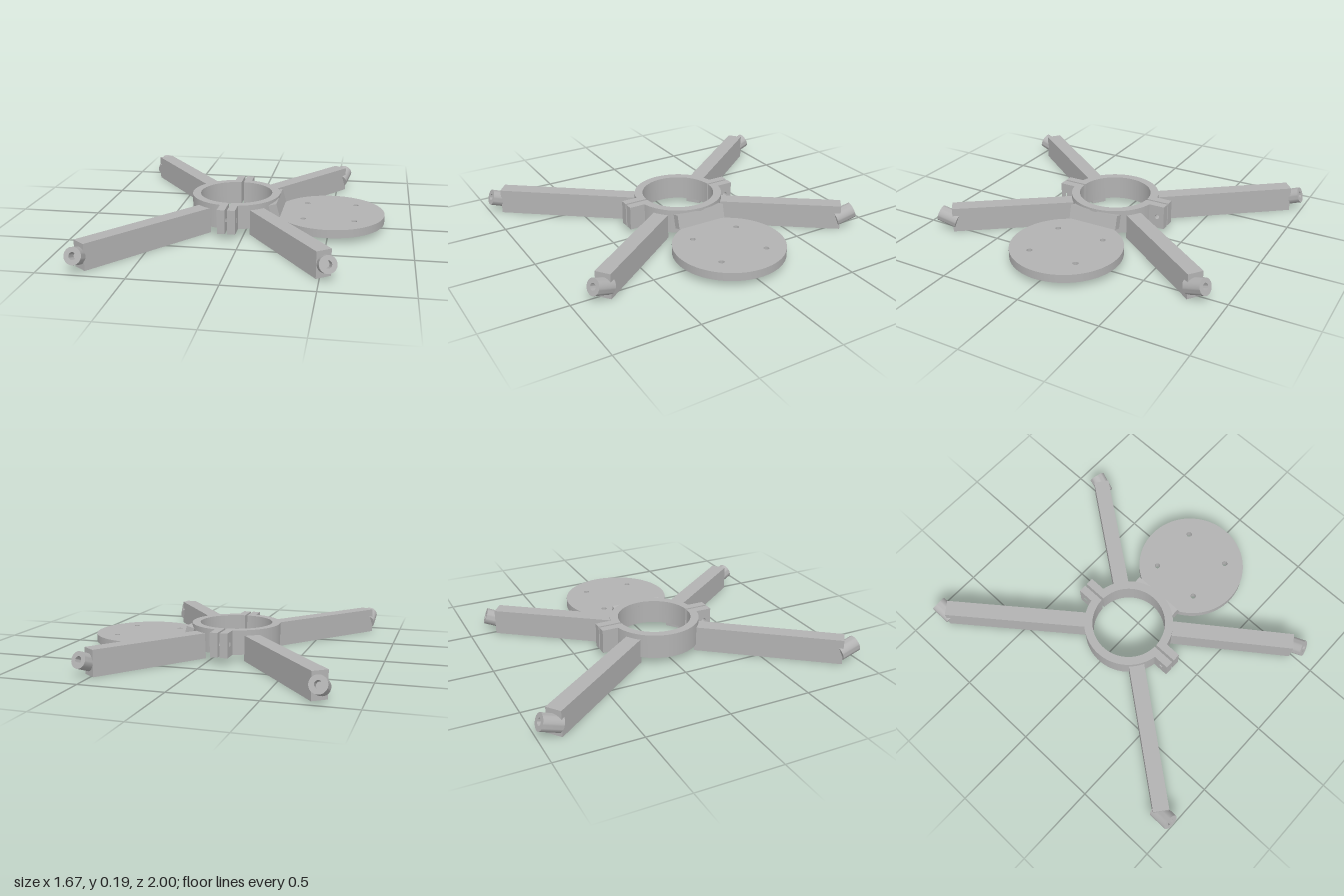
import * as THREE from 'three';
import { toCreasedNormals } from 'three/addons/utils/BufferGeometryUtils.js';

const RING_X = -0.085, RING_Y = 0.04, RING_H = 0.147;
const R_OUT = 0.272, R_IN = 0.222, GAP = 0.007;

export function createModel() {
  const model = new THREE.Group();
  const grey = new THREE.MeshStandardMaterial({ color: 0xb2b2b2 });
  grey.name = 'plain grey';

  const add = (name, geometry, parent = model) => {
    const mesh = new THREE.Mesh(geometry, grey);
    mesh.name = name;
    parent.add(mesh);
    return mesh;
  };
  const extrude = (shape, depth) => toCreasedNormals(
    new THREE.ExtrudeGeometry(shape, { depth, bevelEnabled: false, curveSegments: 48 }), 0.6);
  const hole = (x, y, r) => new THREE.Path().absarc(x, y, r, 0, Math.PI * 2, true);

  // Split clamp ring: two half rings, each with a bolt tab at both ends
  for (const side of [1, -1]) {
    const half = new THREE.Group();
    half.name = side > 0 ? 'clampHalfLeft' : 'clampHalfRight';
    half.position.set(RING_X, RING_Y, 0);
    half.rotation.y = side > 0 ? 0 : Math.PI;
    model.add(half);

    const a = Math.acos(GAP / R_OUT), b = Math.acos(GAP / R_IN);
    const arc = new THREE.Shape();
    arc.absarc(0, 0, R_OUT, -a, a, false);
    arc.absarc(0, 0, R_IN, b, -b, true);
    arc.closePath();
    add('halfRing', extrude(arc, RING_H).rotateX(-Math.PI / 2).translate(0, 0, 0), half);

    for (const end of [1, -1]) {
      const tab = new THREE.Shape();
      const z0 = 0.24 * end, z1 = 0.365 * end;
      tab.moveTo(z0, 0);
      tab.lineTo(z1, 0);
      tab.lineTo(z1, RING_H);
      tab.lineTo(z0, RING_H);
      tab.closePath();
      tab.holes.push(hole(0.32 * end, RING_H / 2, 0.015));
      // Shape x runs along -z after the turn, extrusion runs along +x
      add('boltTab', extrude(tab, 0.047).rotateY(Math.PI / 2).translate(GAP, 0, 0), half);
    }
  }

  // Arms with tilted hollow end sockets, mirrored front to back
  const arms = [
    { name: 'rightArm', from: [-0.238, 0.206], to: [-0.78, 0.905], tip: [-0.786, 0.984], aim: [-0.03, 1] },
    { name: 'leftArm', from: [0.074, 0.212], to: [0.52, 0.815], tip: [0.547, 0.885], aim: [0.26, 0.966] },
  ];
  const LEN = 0.12, R = 0.049, BORE = 0.021;
  const profile = [[0, 0], [R, 0], [R, LEN], [BORE, LEN], [BORE, LEN - 0.07], [0, LEN - 0.07]];
  const socketGeometry = toCreasedNormals(
    new THREE.LatheGeometry(profile.map(([x, y]) => new THREE.Vector2(x, y)), 32), 0.6);
  const up = new THREE.Vector3(0, 1, 0);
  const tilt = THREE.MathUtils.degToRad(20);

  for (const arm of arms) {
    for (const s of [1, -1]) {
      const group = new THREE.Group();
      group.name = arm.name + (s > 0 ? 'Front' : 'Back');
      model.add(group);

      const dx = arm.to[0] - arm.from[0], dz = (arm.to[1] - arm.from[1]) * s;
      const bar = add('armBar', new THREE.BoxGeometry(0.094, 0.154, Math.hypot(dx, dz)), group);
      bar.position.set((arm.from[0] + arm.to[0]) / 2, 0.077, (arm.from[1] + arm.to[1]) * s / 2);
      bar.rotation.y = Math.atan2(dx, dz);

      const axis = new THREE.Vector3(
        arm.aim[0] * Math.cos(tilt), Math.sin(tilt), arm.aim[1] * s * Math.cos(tilt)).normalize();
      const socket = add('endSocket', socketGeometry, group);
      socket.quaternion.setFromUnitVectors(up, axis);
      socket.position.set(arm.tip[0], 0.103, arm.tip[1] * s).addScaledVector(axis, -LEN);
    }
  }

  // Round mounting plate with four screw holes
  const disc = new THREE.Shape().absarc(0, 0, 0.332, 0, Math.PI * 2, false);
  for (const x of [-0.153, 0.153]) {
    for (const z of [-0.153, 0.153]) disc.holes.push(hole(x, z, 0.017));
  }
  add('mountingPlate', extrude(disc, 0.05).rotateX(-Math.PI / 2)).position.set(0.5, 0.039, 0);

  // Leaning block joining the ring and the plate
  const block = add('plateBracket', new THREE.BoxGeometry(0.05, 0.085, 0.32));
  block.position.set(0.172, 0.127, 0);
  block.rotation.z = THREE.MathUtils.degToRad(15);

  return model;
}
